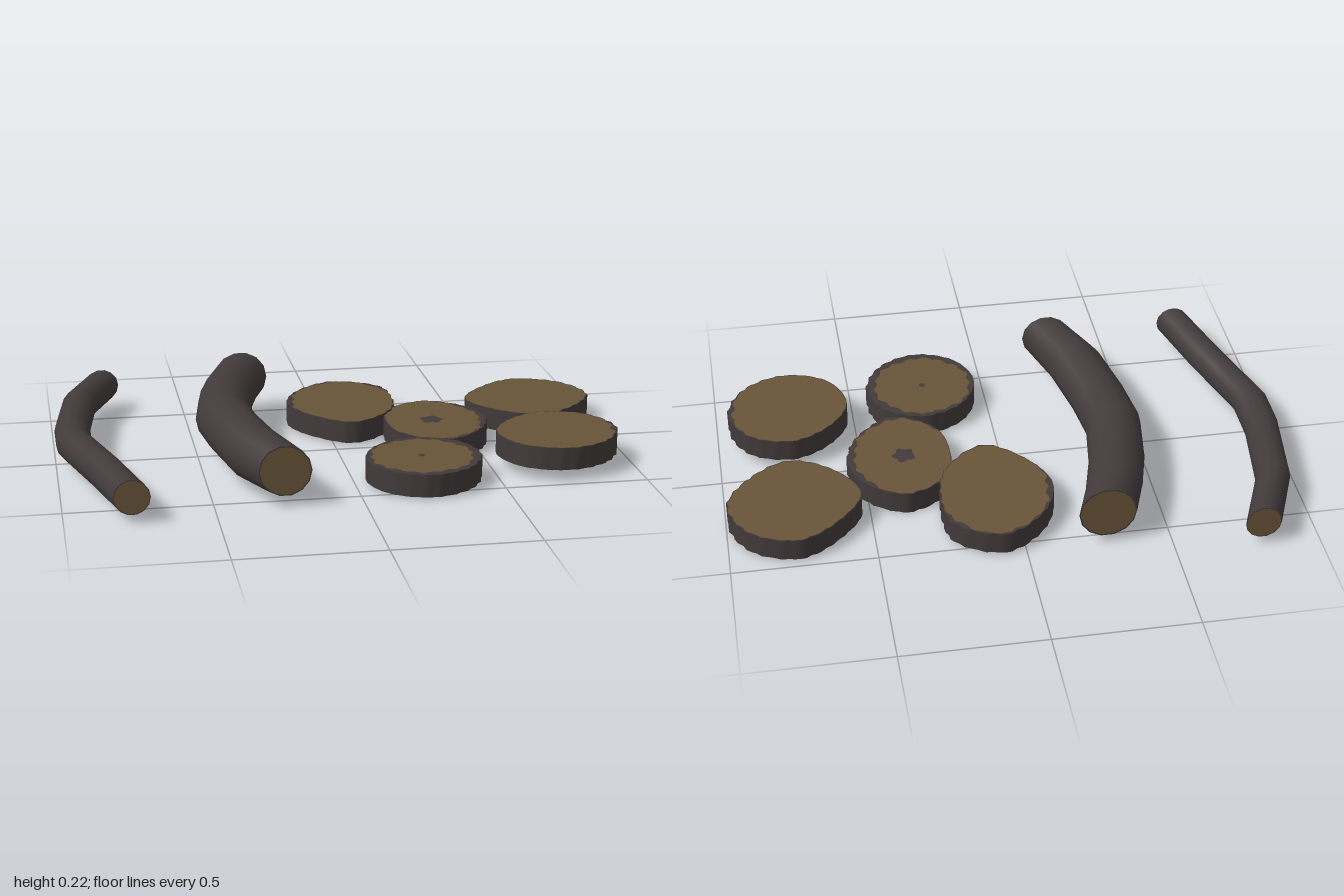
import * as THREE from 'three';

const bark = new THREE.MeshStandardMaterial({ color: 0x423a3a });
bark.name = 'dark bark';
const wood = new THREE.MeshStandardMaterial({ color: 0x685438 });
wood.name = 'cut wood';

// Skin through a list of closed rings; smooth inside one loft
function loft(rings) {
  const n = rings[0].length, index = [];
  for (let r = 0; r < rings.length - 1; r++) {
    for (let i = 0; i < n; i++) {
      const j = (i + 1) % n, a = r * n, b = a + n;
      index.push(a + i, a + j, b + j, a + i, b + j, b + i);
    }
  }
  const g = new THREE.BufferGeometry();
  g.setAttribute('position', new THREE.Float32BufferAttribute(rings.flat(2), 3));
  g.setIndex(index);
  g.computeVertexNormals();
  return g;
}

function add(group, name, rings, material) {
  const mesh = new THREE.Mesh(loft(rings), material);
  mesh.name = name;
  group.add(mesh);
}

// Log slice: eight radii, clockwise from the back, give the uneven outline;
// the wood face fills an ellipse [x, z, rx, rz] inside it
function slice(name, [x, y, z], radii, core, knotRadius) {
  const group = new THREE.Group();
  group.name = name;
  const N = 64, top = y + 0.08, [cx, cz, rx, rz] = core;
  const curve = new THREE.CatmullRomCurve3(radii.map((r, i) => {
    const a = i / radii.length * Math.PI * 2;
    return new THREE.Vector3(x + Math.sin(a) * r, 0, z - Math.cos(a) * r);
  }), true);
  const outer = [], inner = [], pith = [], middle = [];
  for (let i = 0; i < N; i++) {
    const p = curve.getPoint(i / N);
    const dx = p.x - cx, dz = p.z - cz, len = Math.hypot(dx, dz);
    const rough = 1 + 0.012 * Math.sin(i * 2.3) + 0.008 * Math.sin(i * 4.1 + 1);
    outer.push([cx + dx * rough, cz + dz * rough]);
    // The wood edge is ragged and never passes the bark
    const reach = 1 / Math.hypot(dx / rx, dz / rz);
    const ragged = 1 + 0.035 * Math.sin(i * 1.7) + 0.02 * Math.sin(i * 0.6);
    const k = Math.min(rough * 0.985, reach * ragged);
    inner.push([cx + dx * k, cz + dz * k]);
    const w = knotRadius * (1 + 0.15 * Math.sin(i * 0.5)) / len;
    pith.push([cx + dx * w, cz + dz * w]);
    middle.push([cx, cz]);
  }
  const at = (ring, h) => ring.map(([px, pz]) => [px, h, pz]);
  add(group, 'topWood', [at(pith, top), at(inner, top)], wood);
  add(group, 'topBarkRim', [at(inner, top), at(outer, top)], bark);
  add(group, 'barkSide', [at(outer, top), at(outer, y)], bark);
  add(group, 'bottomBarkRim', [at(outer, y), at(inner, y)], bark);
  add(group, 'bottomWood', [at(inner, y), at(pith, y)], wood);
  if (knotRadius > 0) {
    add(group, 'topKnot', [at(middle, top), at(pith, top)], bark);
    add(group, 'bottomKnot', [at(pith, y), at(middle, y)], bark);
  }
  return group;
}

// Bent branch: upright sections along z; stations are [z, x]
function branch(name, y, rx, ry, frontTaper, stations) {
  const group = new THREE.Group();
  group.name = name;
  const N = 14, end = stations.length - 1;
  const ring = (s, k) => Array.from({ length: N }, (_, i) => {
    const a = i / N * Math.PI * 2, size = k * (s === end ? frontTaper : 1);
    return [stations[s][1] + Math.cos(a) * rx * size, y + Math.sin(a) * ry * size, stations[s][0]];
  });
  add(group, 'barkTube', stations.map((_, s) => ring(s, 1)), bark);
  add(group, 'backRim', [ring(0, 0.95), ring(0, 1)], bark);
  add(group, 'backCut', [ring(0, 0), ring(0, 0.95)], wood);
  add(group, 'frontRim', [ring(end, 1), ring(end, 0.95)], bark);
  add(group, 'frontCut', [ring(end, 0.95), ring(end, 0)], wood);
  return group;
}

export function createModel() {
  const model = new THREE.Group();
  model.name = 'firewood';
  model.add(
    slice('backLogSlice', [0.07, 0.01, -0.3],
      [0.25, 0.235, 0.19, 0.21, 0.26, 0.205, 0.205, 0.21], [0.08, -0.29, 0.195, 0.25], 0),
    slice('middleLogSlice', [0.37, 0.003, -0.04],
      [0.23, 0.2, 0.185, 0.19, 0.23, 0.205, 0.18, 0.21], [0.355, -0.045, 0.175, 0.22], 0.038),
    slice('frontLogSlice', [0.24, 0.01, 0.37],
      [0.2, 0.205, 0.2, 0.195, 0.2, 0.2, 0.2, 0.195], [0.235, 0.365, 0.175, 0.175], 0.012),
    slice('backLeftLogSlice', [0.76, 0.01, -0.245],
      [0.225, 0.23, 0.232, 0.205, 0.225, 0.21, 0.233, 0.2], [0.76, -0.245, 0.3, 0.3], 0),
    slice('frontLeftLogSlice', [0.74, 0.042, 0.25],
      [0.2, 0.21, 0.215, 0.21, 0.215, 0.22, 0.215, 0.19], [0.725, 0.25, 0.215, 0.25], 0),
    branch('thickBranch', 0.127, 0.1, 0.098, 0.9, [
      [-0.54, -0.28], [-0.4, -0.33], [-0.25, -0.37], [-0.05, -0.4], [0.13, -0.38], [0.35, -0.34], [0.555, -0.265],
    ]),
    branch('thinBranch', 0.092, 0.063, 0.062, 0.98, [
      [-0.635, -0.8], [-0.4, -0.895], [-0.1, -0.935], [0.06, -0.935], [0.25, -0.88], [0.37, -0.845], [0.63, -0.778],
    ]),
  );
  return model;
}
